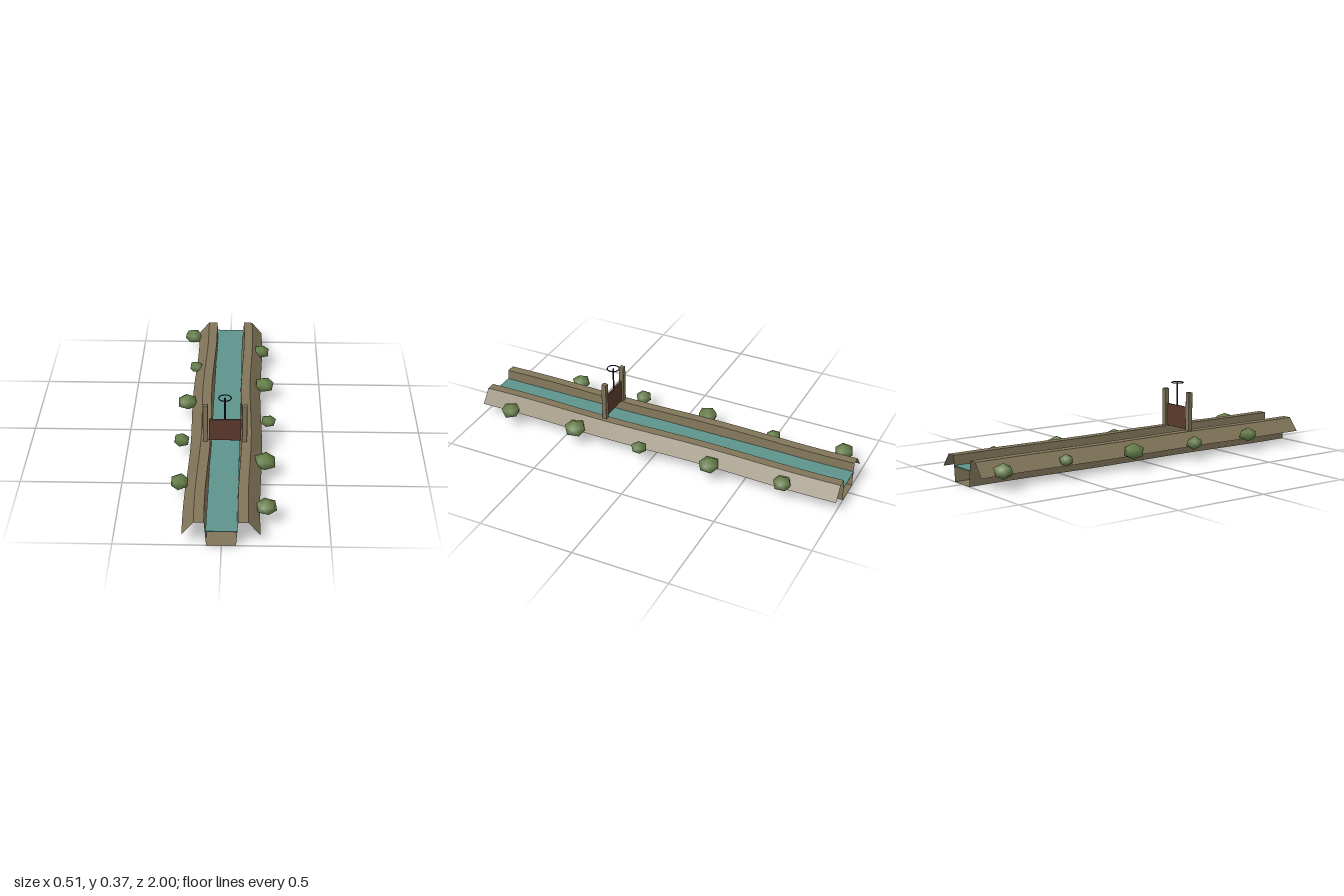
import * as THREE from 'three';
import { mergeVertices } from 'three/addons/utils/BufferGeometryUtils.js';
import { RoundedBoxGeometry } from 'three/addons/geometries/RoundedBoxGeometry.js';

function material(name, color, side = THREE.FrontSide) {
  return new THREE.MeshStandardMaterial({ name, color, side });
}

// Sideways meander of the ditch along its length
const meander = z => 0.005 * Math.sin(z * 6.0);

// Sweep an open cross-section along z as a flat-shaded sheet
function sweep(profile, segments) {
  const pos = [], index = [], n = profile.length;
  for (let i = 0; i <= segments; i++) {
    const z = -1 + (2 * i) / segments;
    for (const [x, y] of profile) pos.push(x + meander(z), y, z);
  }
  for (let i = 0; i < segments; i++) {
    for (let j = 0; j < n - 1; j++) {
      const a = i * n + j, b = a + n;
      index.push(a, b, a + 1, b, b + 1, a + 1);
    }
  }
  const g = new THREE.BufferGeometry();
  g.setAttribute('position', new THREE.Float32BufferAttribute(pos, 3));
  g.setIndex(index);
  const flat = g.toNonIndexed();
  flat.computeVertexNormals();
  return flat;
}

// Small seeded random generator
function seeded(seed) {
  return () => (seed = (seed * 16807) % 2147483647) / 2147483647;
}

// Lumpy smooth-shaded shrub with a vertex at the top
function bushGeometry(rx, ry, rz, random) {
  let g = new THREE.IcosahedronGeometry(1, 0);
  g.deleteAttribute('normal');
  g.deleteAttribute('uv');
  g = mergeVertices(g, 1e-3);
  g.rotateX(-Math.atan((1 + Math.sqrt(5)) / 2));
  g.rotateY(random() * Math.PI);
  const p = g.attributes.position;
  for (let i = 0; i < p.count; i++) {
    const s = 0.95 + random() * 0.17;
    p.setXYZ(i, p.getX(i) * s, p.getY(i) * s, p.getZ(i) * s);
  }
  g.scale(rx, ry, rz);
  g.computeVertexNormals();
  return g;
}

export function createModel() {
  const model = new THREE.Group();
  model.name = 'irrigationDitch';
  const earth = material('earth', 0x82765a, THREE.DoubleSide);
  const water = material('water', 0x5c948c);
  const wood = material('postWood', 0x80745a);
  const rust = material('gateBrown', 0x5c3a2c);
  const iron = material('darkIron', 0x22222a);
  const leaf = material('leafGreen', 0x647d48);

  const add = (parent, name, geometry, mat, x = 0, y = 0, z = 0) => {
    const mesh = new THREE.Mesh(geometry, mat);
    mesh.name = name;
    mesh.position.set(x, y, z);
    parent.add(mesh);
    return mesh;
  };

  // Channel: outer slope, crest, wall, floor and the same mirrored
  const half = [[0.18, 0.06], [0.125, 0.128], [0.078, 0.128], [0.068, 0.001]];
  const profile = [...half.map(([x, y]) => [-x, y]), ...half.slice().reverse()];
  add(model, 'channelBanks', sweep(profile, 24), earth);

  // Water surface
  add(model, 'water', new THREE.BoxGeometry(0.144, 0.004, 2), water, 0, 0.078, 0);

  // Sluice gate
  const gate = new THREE.Group();
  gate.name = 'sluiceGate';
  gate.position.z = 0.3;
  model.add(gate);
  for (const side of [-1, 1]) {
    add(gate, side > 0 ? 'leftPost' : 'rightPost',
      new RoundedBoxGeometry(0.026, 0.238, 0.026, 1, 0.003), wood, side * 0.097, 0.211, 0);
  }
  add(gate, 'gatePanel', new RoundedBoxGeometry(0.16, 0.118, 0.012, 1, 0.002), rust, 0, 0.191, 0);
  add(gate, 'liftingStem', new THREE.CylinderGeometry(0.004, 0.004, 0.122, 8), iron, 0, 0.31, 0);
  const wheel = add(gate, 'handWheel', new THREE.TorusGeometry(0.031, 0.0028, 6, 20), iron, 0, 0.371, 0);
  wheel.rotation.x = Math.PI / 2;

  // Bushes along both banks: x, z, width radius, height radius
  const bushes = [
    [-0.21, -0.9, 0.049, 0.038], [-0.18, -0.53, 0.037, 0.031], [-0.21, -0.145, 0.052, 0.041],
    [-0.22, 0.235, 0.041, 0.034], [-0.21, 0.615, 0.047, 0.037],
    [0.18, -0.72, 0.045, 0.035], [0.197, -0.335, 0.054, 0.037], [0.217, 0.045, 0.04, 0.031],
    [0.2, 0.425, 0.056, 0.042], [0.205, 0.81, 0.05, 0.037],
  ];
  const random = seeded(4711);
  bushes.forEach(([x, z, r, h], i) => {
    add(model, `bush${i + 1}`, bushGeometry(r, h, r, random), leaf, x, 0.088, z);
  });
  return model;
}
